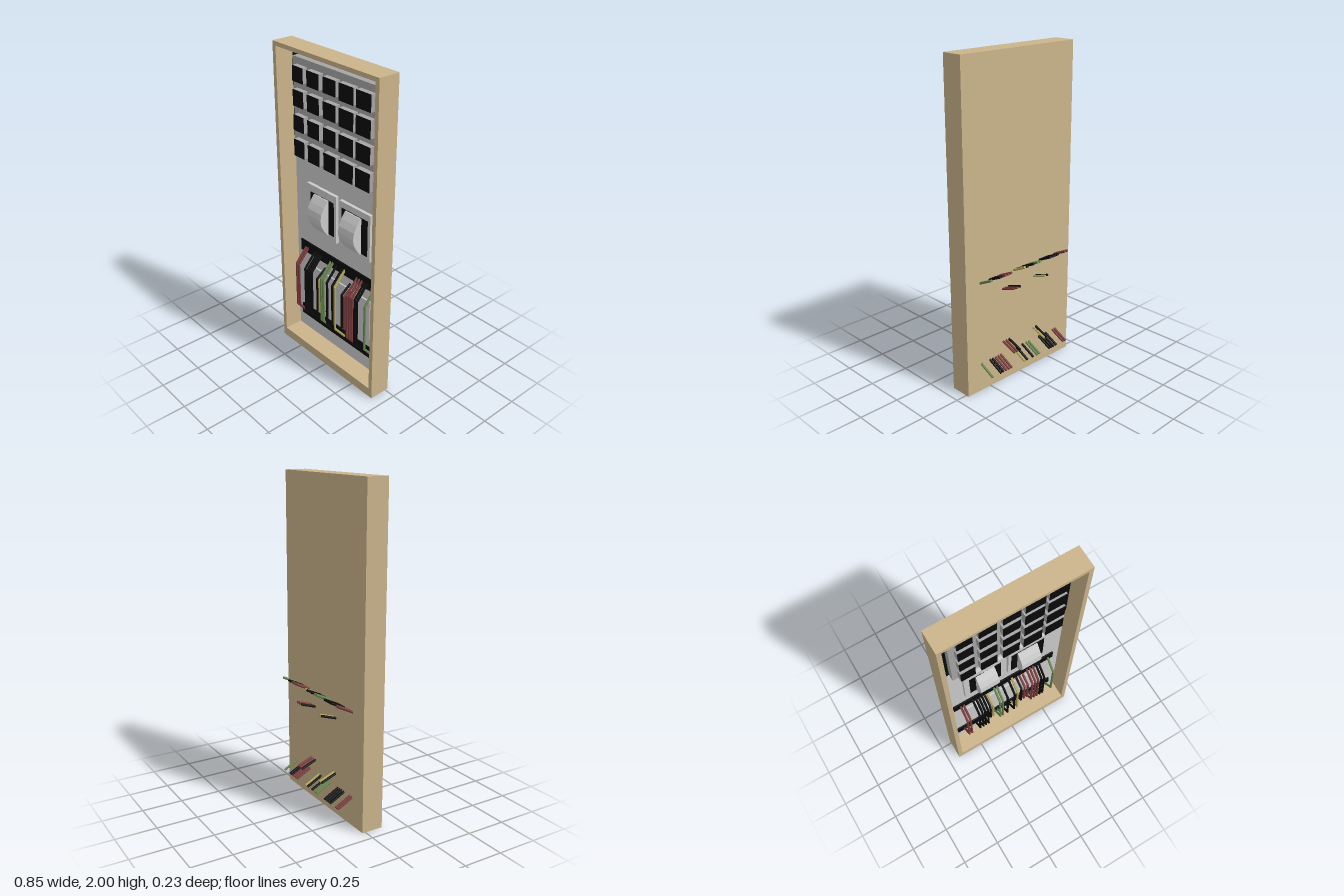
import * as THREE from 'three';

const mat = (color) => new THREE.MeshStandardMaterial({ color, flatShading: true });
const wood = mat(0xcbb48b), grey = mat(0xcccccc), midGrey = mat(0xa5a5a5), black = mat(0x0a0a0a);
const wireMats = { r: mat(0x7a3a3a), k: black, y: mat(0xb5a858), g: mat(0x66864f) };

export function createModel() {
  const model = new THREE.Group();

  // box given by its limits on each axis
  function box(name, m, x0, x1, y0, y1, z0, z1, parent = model) {
    const mesh = new THREE.Mesh(new THREE.BoxGeometry(x1 - x0, y1 - y0, z1 - z0), m);
    mesh.position.set((x0 + x1) / 2, (y0 + y1) / 2, (z0 + z1) / 2);
    mesh.name = name;
    parent.add(mesh);
    return mesh;
  }

  // wooden case: rim around a recessed back
  const rect = (path, x, y0, y1) =>
    path.moveTo(-x, y0).lineTo(x, y0).lineTo(x, y1).lineTo(-x, y1).closePath();
  const rim = rect(new THREE.Shape(), 0.427, 0, 2);
  rim.holes.push(rect(new THREE.Path(), 0.4, 0.06, 1.975));
  const rimGeo = new THREE.ExtrudeGeometry(rim, { depth: 0.127, bevelEnabled: false });
  const caseRim = new THREE.Mesh(rimGeo, wood);
  caseRim.position.z = -0.012;
  caseRim.name = 'caseRim';
  model.add(caseRim);
  box('caseBack', wood, -0.427, 0.427, 0, 2, -0.02, -0.012);
  box('mainPanel', grey, -0.4, 0.4, 0.06, 1.975, -0.012, -0.006);

  // upper button field
  box('buttonBacking', black, -0.4, 0.4, 1.32, 1.975, -0.006, 0);
  box('buttonPlate', midGrey, -0.345, 0.345, 1.32, 1.92, 0, 0.04);
  const buttons = new THREE.Group();
  buttons.name = 'buttons';
  model.add(buttons);
  const columns = [[-0.31, -0.22], [-0.185, -0.085], [-0.048, 0.053], [0.08, 0.195], [0.217, 0.328]];
  const rows = [[1.79, 1.88], [1.645, 1.742], [1.497, 1.592], [1.338, 1.442]];
  for (const [y0, y1] of rows) {
    columns.forEach(([x0, x1], i) => {
      const drop = i > 2 ? 0.007 : 0;
      box('button', midGrey, x0, x1, y0 - drop, y1, 0.04, 0.072, buttons);
      box('buttonFace', black, x0, x1, y0 - drop, y1, 0.072, 0.075, buttons);
    });
  }

  // two rocker switches, each with a plate, a dark well and a curved rocker
  function rockerSwitch(plate, well, rocker) {
    const group = new THREE.Group();
    group.name = 'rockerSwitch';
    box('switchPlate', grey, ...plate, -0.006, 0.015, group);
    box('switchWell', black, ...well, 0.015, 0.018, group);
    const [x0, x1, y0, y1] = rocker, steps = 6;
    const side = new THREE.Shape().moveTo(0.01, y0);
    for (let i = 0; i <= steps; i++) {
      const t = i / steps;
      side.lineTo(0.025 + 0.055 * Math.sin(Math.PI * t), y0 + (y1 - y0) * t);
    }
    side.lineTo(0.01, y1).closePath();
    const geo = new THREE.ExtrudeGeometry(side, { depth: x1 - x0, bevelEnabled: false });
    geo.rotateY(-Math.PI / 2).translate(x1, 0, 0);
    const mesh = new THREE.Mesh(geo, grey);
    mesh.name = 'rocker';
    group.add(mesh);
    model.add(group);
  }
  rockerSwitch([-0.275, -0.01, 0.845, 1.155], [-0.24, -0.03, 0.885, 1.108], [-0.2, -0.075, 0.877, 1.108]);
  rockerSwitch([0.02, 0.28, 0.85, 1.15], [0.04, 0.26, 0.88, 1.11], [0.08, 0.21, 0.875, 1.108]);

  // terminal strips and the plate between them
  box('upperStrip', black, -0.36, 0.355, 0.65, 0.725, -0.006, 0.004);
  box('lowerStrip', black, -0.36, 0.355, 0.16, 0.235, -0.006, 0.004);
  box('wirePlate', grey, -0.29, 0.28, 0.3, 0.57, -0.006, 0.004);

  // wires: bent rods passing through the back, as [z, y] points
  const longPath = [[-0.114, 0.749], [-0.01, 0.698], [0.08, 0.595], [0.08, 0.29], [-0.01, 0.182], [-0.114, 0.128]];
  const shortPath = [[-0.115, 0.641], [-0.01, 0.606], [0.06, 0.555], [0.06, 0.32], [-0.01, 0.262], [-0.115, 0.222]];
  const up = new THREE.Vector3(0, 1, 0);
  function wire(x, kind, path) {
    const group = new THREE.Group();
    group.name = 'wire';
    for (let i = 1; i < path.length; i++) {
      const a = new THREE.Vector3(x, path[i - 1][1], path[i - 1][0]);
      const b = new THREE.Vector3(x, path[i][1], path[i][0]);
      const dir = b.clone().sub(a);
      const mesh = new THREE.Mesh(
        new THREE.CylinderGeometry(0.0075, 0.0075, dir.length() + 0.002, 8), wireMats[kind]);
      mesh.position.copy(a).add(b).multiplyScalar(0.5);
      mesh.quaternion.setFromUnitVectors(up, dir.normalize());
      mesh.name = 'wireSegment';
      group.add(mesh);
    }
    model.add(group);
  }
  const longWires = {
    r: [-0.312, -0.292, 0.163, 0.185, 0.207],
    k: [-0.228, -0.205, -0.186, -0.166, -0.02, 0.03, 0.23, 0.25],
    g: [-0.075, -0.055, 0.318],
    y: [0.053],
  };
  const shortWires = { k: [-0.137, 0.094], y: [-0.117], r: [0.118, 0.142] };
  for (const [set, path] of [[longWires, longPath], [shortWires, shortPath]]) {
    for (const kind in set) set[kind].forEach((x) => wire(x, kind, path));
  }
  return model;
}
